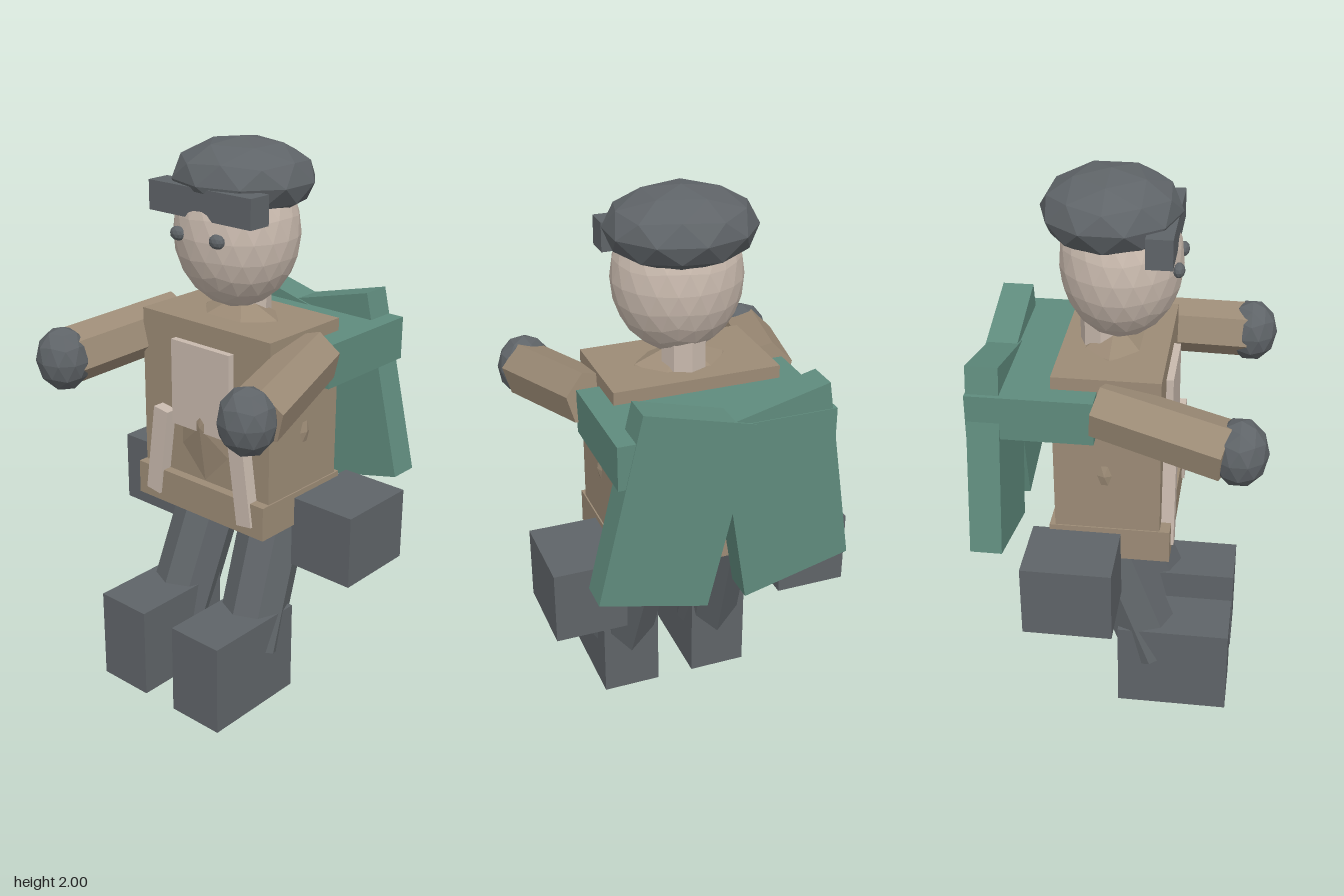
import * as THREE from 'three';

export function createModel() {
  const root = new THREE.Group();
  root.name = 'caddyFigure';

  const mat = (name, color) => {
    const m = new THREE.MeshStandardMaterial({ color, flatShading: true });
    m.name = name;
    return m;
  };
  const grey = mat('slateGrey', 0x5f6468);
  const tan = mat('tan', 0x9c8b76);
  const pale = mat('paleSkin', 0xc8b9ad);
  const green = mat('capeGreen', 0x5f8b7d);

  const add = (name, geometry, material) => {
    const mesh = new THREE.Mesh(geometry, material);
    mesh.name = name;
    root.add(mesh);
    return mesh;
  };

  // Box given by its extents on each axis
  const box = (name, material, [x0, x1], [y0, y1], [z0, z1]) => {
    const mesh = add(name, new THREE.BoxGeometry(x1 - x0, y1 - y0, z1 - z0), material);
    mesh.position.set((x0 + x1) / 2, (y0 + y1) / 2, (z0 + z1) / 2);
    return mesh;
  };

  // Faceted ellipsoid; poleUp turns a corner of the icosahedron to the top
  const ball = (name, material, center, radii, detail, poleUp = true) => {
    const g = new THREE.IcosahedronGeometry(1, detail);
    if (poleUp) g.rotateZ(Math.atan(2 / (1 + Math.sqrt(5))));
    g.scale(...radii);
    const mesh = add(name, g, material);
    mesh.position.set(...center);
    return mesh;
  };

  // Straight limb between two points
  const limb = (name, material, from, to, rFrom, rTo, sides) => {
    const a = new THREE.Vector3(...from), b = new THREE.Vector3(...to);
    const dir = b.clone().sub(a);
    const mesh = add(name, new THREE.CylinderGeometry(rTo, rFrom, dir.length(), sides), material);
    mesh.position.copy(a).add(b).multiplyScalar(0.5);
    mesh.quaternion.setFromUnitVectors(new THREE.Vector3(0, 1, 0), dir.normalize());
    return mesh;
  };

  // Torso: rounded core poking through a boxy jacket, with a hem and a bib
  ball('torsoCore', tan, [0, 1.02, -0.05], [0.305, 0.44, 0.22], 1, false);
  box('jacket', tan, [-0.295, 0.295], [0.79, 1.39], [-0.225, 0.14]);
  box('jacketHem', tan, [-0.3, 0.3], [0.68, 0.805], [-0.245, 0.175]);
  box('bib', pale, [-0.135, 0.135], [1.0, 1.315], [0.13, 0.165]);

  // Head, neck and cap
  limb('neck', pale, [0, 1.3, -0.09], [0, 1.6, -0.09], 0.08, 0.08, 8);
  ball('head', pale, [0, 1.685, -0.027], [0.226, 0.262, 0.208], 3);
  ball('cap', grey, [0, 1.865, -0.06], [0.259, 0.135, 0.236], 1);
  box('capVisor', grey, [-0.227, 0.227], [1.755, 1.857], [0.075, 0.163]);

  // Paired parts, mirrored across x
  for (const [s, side] of [[1, 'left'], [-1, 'right']]) {
    const span = (a, b) => (s > 0 ? [a, b] : [-b, -a]);

    ball(side + 'Eye', grey, [s * 0.088, 1.697, 0.17], [0.031, 0.025, 0.021], 1);

    // Hanging strap on the jacket front
    const strap = add(side + 'Strap', new THREE.BoxGeometry(0.066, 0.335, 0.05), pale);
    strap.position.set(s * 0.197, 0.88, 0.16);
    strap.rotation.z = s * 0.14;

    limb(side + 'Arm', tan, [s * 0.32, 1.3, -0.06], [s * 0.43, 1.238, 0.37], 0.098, 0.102, 6);
    ball(side + 'Hand', grey, [s * 0.428, 1.236, 0.405], [0.1, 0.116, 0.094], 1);

    limb(side + 'Leg', grey, [s * 0.178, 0.19, 0.11], [s * 0.145, 0.78, -0.115], 0.122, 0.122, 8);
    box(side + 'Boot', grey, span(0.07, 0.287), [0, 0.34], [-0.01, 0.395]);
    box(side + 'HipPack', grey, span(0.29, 0.546), [0.52, 0.785], [-0.305, 0.005]);
  }

  // Cape: a yoke across the shoulders and two slanted tails
  box('capeYoke', green, [-0.375, 0.375], [1.19, 1.345], [-0.497, -0.073]);
  const tail = (name, corners, z) => {
    const shape = new THREE.Shape(corners.map(([x, y]) => new THREE.Vector2(x, y)));
    add(name, new THREE.ExtrudeGeometry(shape, { depth: 0.11, bevelEnabled: false }), green).position.z = z;
  };
  tail('leftCapeTail', [[0.29, 1.44], [-0.09, 1.34], [0.07, 0.68], [0.45, 0.775]], -0.5);
  tail('rightCapeTail', [[-0.345, 1.44], [-0.45, 0.775], [-0.07, 0.68], [0.035, 1.345]], -0.494);

  return root;
}
